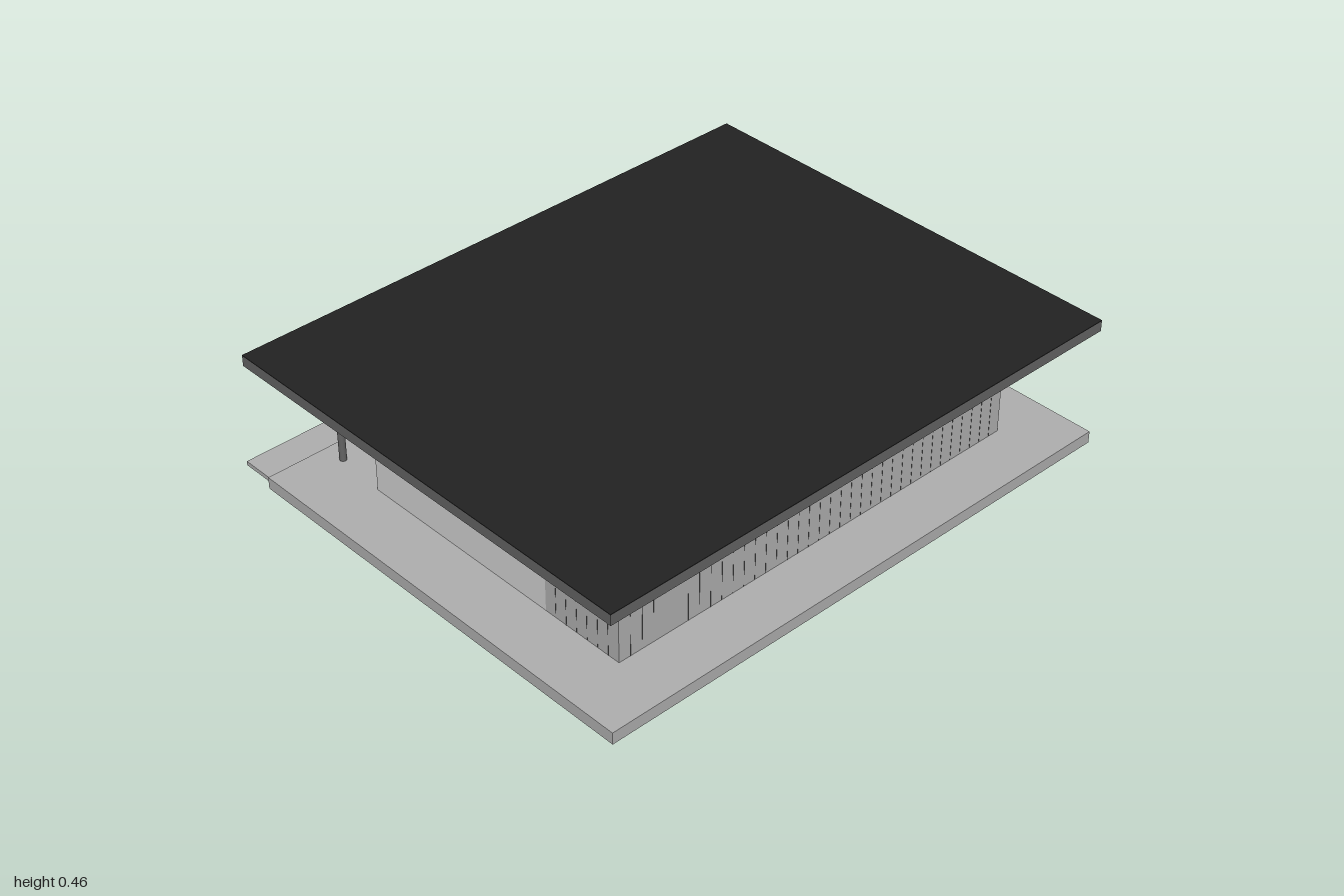
import * as THREE from 'three';

const mat = (name, color) => {
  const m = new THREE.MeshStandardMaterial({ color });
  m.name = name;
  return m;
};

export function createModel() {
  const model = new THREE.Group();
  model.name = 'pavilion';

  const concrete = mat('concrete grey', 0xb0b0b0);
  const glass = mat('pale glass', 0xd2d2d2);
  const steel = mat('dark steel grey', 0x646464);
  const roofing = mat('black roofing', 0x232323);
  const joint = mat('joint black', 0x111111);

  // Box given by its extents on each axis
  const box = (name, material, [x0, x1], [y0, y1], [z0, z1], parent = model) => {
    const mesh = new THREE.Mesh(new THREE.BoxGeometry(x1 - x0, y1 - y0, z1 - z0), material);
    mesh.position.set((x0 + x1) / 2, (y0 + y1) / 2, (z0 + z1) / 2);
    mesh.name = name;
    parent.add(mesh);
    return mesh;
  };

  // Floor slab and the two overlapping entrance steps behind it
  box('floorSlab', concrete, [-1, 1], [0, 0.042], [-0.715, 0.84]);
  box('lowerStep', concrete, [-0.53, 0.15], [0, 0.015], [-0.84, -0.715]);
  box('upperStep', concrete, [-0.99, -0.315], [0.015, 0.03], [-0.84, -0.715]);

  // Walls: solid front section wrapping the corners, glazed rear section
  const wallX = 0.795, wallBack = -0.44, wallSplit = 0.332, wallFront = 0.641;
  const wallY = [0.042, 0.378];
  box('claddingWall', concrete, [-wallX, wallX], wallY, [wallSplit, wallFront]);
  box('glassWalls', glass, [-wallX, wallX], wallY, [wallBack, wallSplit]);

  // Hairline joints between the cladding planks
  const joints = new THREE.Group();
  joints.name = 'claddingJoints';
  model.add(joints);
  const hair = 0.0004, proud = 0.0008;
  const planks = 36, pitch = (2 * wallX) / planks;
  for (let i = 1; i < planks; i++) {
    const x = -wallX + i * pitch;
    box('frontJoint', joint, [x - hair / 2, x + hair / 2], wallY, [wallFront - 0.002, wallFront + proud], joints);
  }
  for (let i = 1; i < 7; i++) {
    const z = wallFront - i * pitch;
    for (const s of [-1, 1]) {
      const x = s * wallX;
      box('sideJoint', joint, [x - proud, x + proud], wallY, [z - hair / 2, z + hair / 2], joints);
    }
  }

  // Ring beam on the walls, then the wide flat roof with its black covering
  box('ringBeam', steel, [-0.803, 0.803], [0.378, 0.42], [-0.446, 0.645]);
  box('roofSlab', steel, [-1, 1], [0.42, 0.456], [-0.785, 0.84]);
  box('roofCovering', roofing, [-1, 1], [0.456, 0.459], [-0.785, 0.84]);

  // Row of slender columns along the rear terrace
  const columnGeo = new THREE.CylinderGeometry(0.012, 0.012, 0.378, 16);
  for (let i = 0; i < 6; i++) {
    const column = new THREE.Mesh(columnGeo, steel);
    column.name = 'column';
    column.position.set(-0.777 + i * 0.311, 0.231, -0.633);
    model.add(column);
  }

  return model;
}
